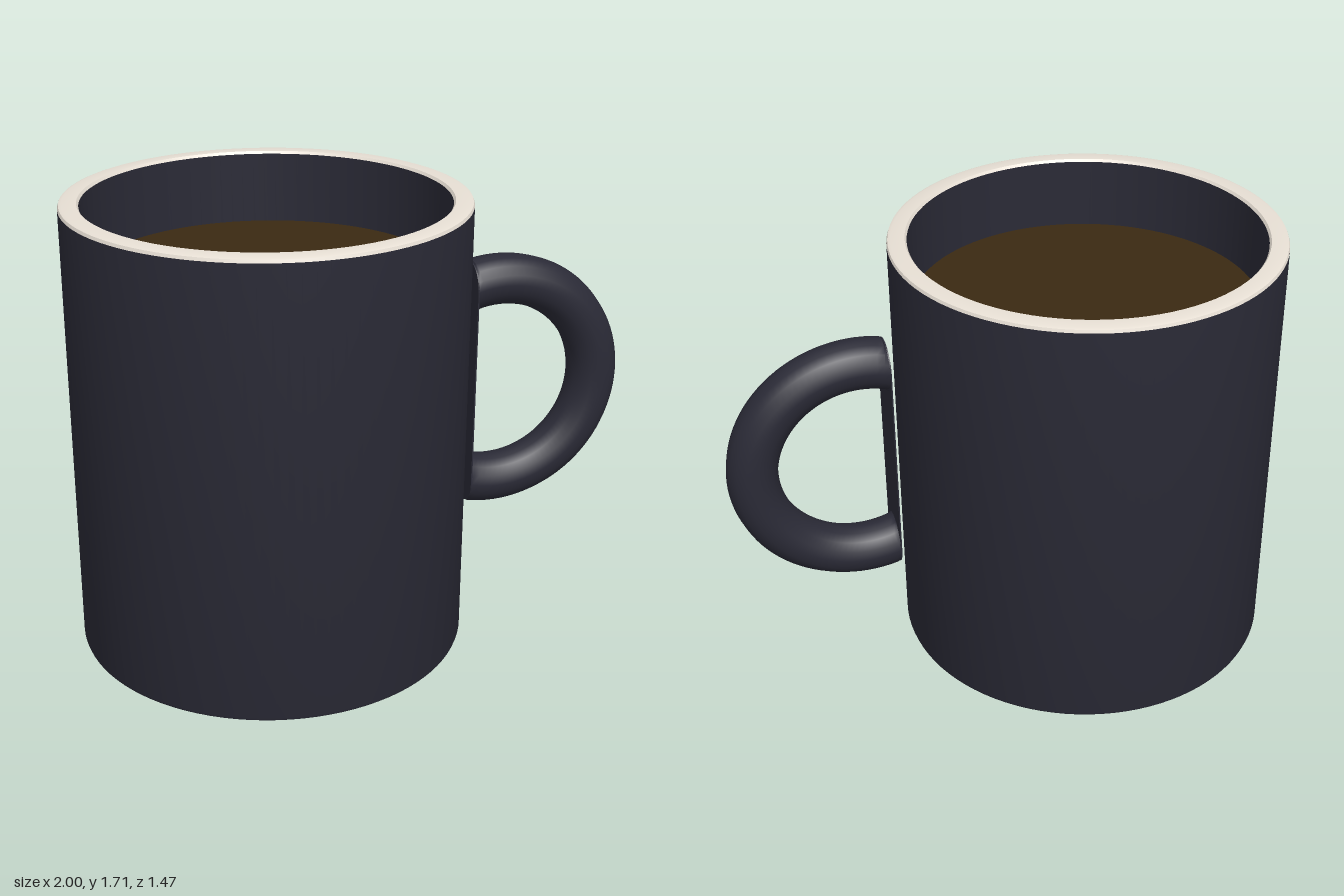
import * as THREE from 'three';
import { toCreasedNormals } from 'three/addons/utils/BufferGeometryUtils.js';

const glaze = new THREE.MeshStandardMaterial({ color: 0x2a2a36 });
glaze.name = 'dark glaze';
const cream = new THREE.MeshStandardMaterial({ color: 0xe8e0d5 });
cream.name = 'cream rim';
const coffeeBrown = new THREE.MeshStandardMaterial({ color: 0x3a2912 });
coffeeBrown.name = 'coffee brown';

function part(name, geometry, material, parent) {
  const mesh = new THREE.Mesh(geometry, material);
  mesh.name = name;
  parent.add(mesh);
  return mesh;
}

// Turned part from [radius, height] points, with hard edges kept sharp
function turned(points) {
  const profile = points.map(([r, y]) => new THREE.Vector2(r, y));
  return toCreasedNormals(new THREE.LatheGeometry(profile, 96), 0.6);
}

export function createModel() {
  const model = new THREE.Group();
  model.name = 'mug';

  const cup = new THREE.Group();
  cup.name = 'cup';
  cup.position.x = -0.263;
  model.add(cup);

  // Outer wall with a slightly softened foot, and the inside down to the floor
  part('outerWall', turned([[0, 0], [0.722, 0], [0.733, 0.004], [0.737, 0.015], [0.737, 1.695]]), glaze, cup);
  part('innerWall', turned([[0.663, 1.7], [0.663, 0.08], [0, 0.08]]), glaze, cup);
  part('rim', turned([[0.737, 1.695], [0.733, 1.706], [0.722, 1.71], [0.67, 1.71], [0.663, 1.7]]), cream, cup);

  // Coffee surface
  const coffee = part('coffee', new THREE.CircleGeometry(0.657, 96), coffeeBrown, cup);
  coffee.rotation.x = -Math.PI / 2;
  coffee.position.y = 1.43;

  // Handle, turned toward the front
  const handle = new THREE.Group();
  handle.name = 'handle';
  handle.position.set(0.537, 0.905, 0.417);
  handle.rotation.y = -0.48;
  model.add(handle);

  // Ring arc whose ends are flattened onto one upright plane
  const ringRadius = 0.413, tube = 0.097, cut = -0.113;
  const arc = Math.PI + 0.8;
  const ring = new THREE.TorusGeometry(ringRadius, tube, 16, 64, arc);
  ring.rotateZ(-arc / 2);
  const pos = ring.attributes.position;
  for (let i = 0; i < pos.count; i++) pos.setX(i, Math.max(pos.getX(i), cut));
  part('handleRing', toCreasedNormals(ring, 0.7), glaze, handle);

  // Thin backing plate joining both handle ends
  const outline = new THREE.Shape();
  outline.absarc(0, 0.397, tube, 0, Math.PI);
  outline.absarc(0, -0.397, tube, Math.PI, Math.PI * 2);
  const plate = part('handlePlate',
    new THREE.ExtrudeGeometry(outline, { depth: 0.005, bevelEnabled: false, curveSegments: 12 }), glaze, handle);
  plate.rotation.y = Math.PI / 2;
  plate.position.x = cut - 0.004;

  return model;
}
